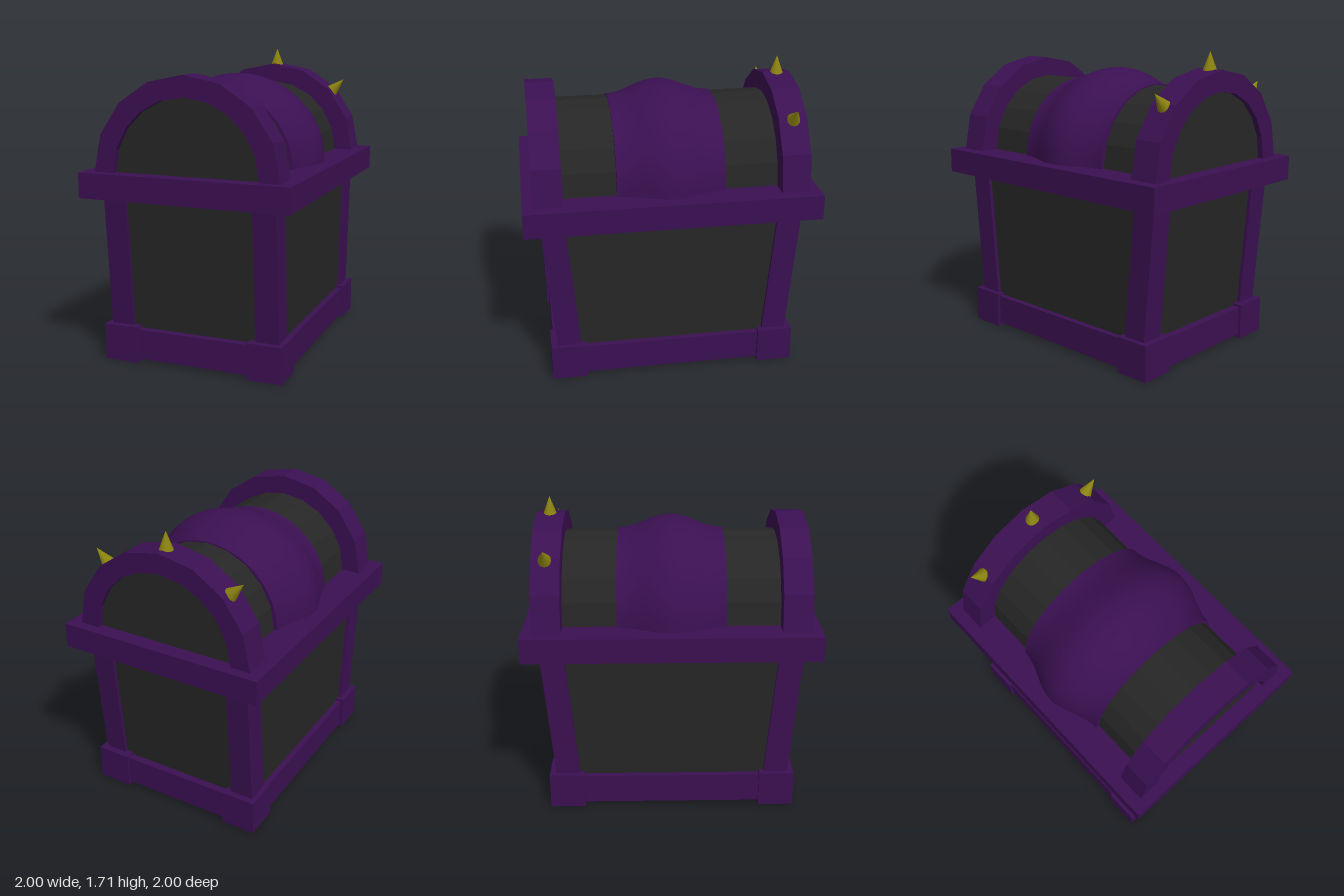
import * as THREE from 'three';
import { toCreasedNormals } from 'three/addons/utils/BufferGeometryUtils.js';

const purple = new THREE.MeshStandardMaterial({ color: 0x3b1052 });
const grey = new THREE.MeshStandardMaterial({ color: 0x262626 });
const gold = new THREE.MeshStandardMaterial({ color: 0x8a8210 });

const RIM_BOTTOM = 0.94, RIM_TOP = 1.08;

export function createModel() {
  const root = new THREE.Group();
  root.name = 'chest';
  const chest = new THREE.Group();
  chest.name = 'chestBody';
  chest.rotation.y = Math.PI / 4; // the chest stands diagonally
  root.add(chest);

  const add = (name, geometry, material) => {
    const mesh = new THREE.Mesh(geometry, material);
    mesh.name = name;
    chest.add(mesh);
    return mesh;
  };
  const box = (x0, x1, y0, y1, z0, z1) =>
    new THREE.BoxGeometry(x1 - x0, y1 - y0, z1 - z0)
      .translate((x0 + x1) / 2, (y0 + y1) / 2, (z0 + z1) / 2);
  // leans the ends of the chest inwards towards the floor
  const taper = (geometry) => {
    const p = geometry.attributes.position;
    for (let i = 0; i < p.count; i++) {
      const x = p.getX(i);
      p.setX(i, x - Math.sign(x) * (RIM_BOTTOM - p.getY(i)) * 0.084);
    }
    geometry.computeVertexNormals();
    return geometry;
  };

  // lower box with its corner posts and feet
  add('bodyPanels', taper(box(-0.705, 0.705, 0.19, RIM_BOTTOM, -0.477, 0.477)), grey);
  for (const sx of [-1, 1]) {
    for (const sz of [-1, 1]) {
      const span = (s, inner, outer) => (s > 0 ? [inner, outer] : [-outer, -inner]);
      const [px0, px1] = span(sx, 0.59, 0.725);
      const [pz0, pz1] = span(sz, 0.365, 0.497);
      add('cornerPost', taper(box(px0, px1, 0.15, RIM_BOTTOM, pz0, pz1)), purple);
      const [fx0, fx1] = span(sx, 0.5, 0.7);
      const [fz0, fz1] = span(sz, 0.326, 0.526);
      add('foot', box(fx0, fx1, 0, 0.205, fz0, fz1), purple);
    }
  }

  // base boards, open underneath
  for (const s of [-1, 1]) {
    const side = box(-0.6, 0.6, 0.02, 0.19, -0.08, 0.08);
    add('sideBaseBoard', side.translate(0, 0, s * 0.43), purple);
    const end = box(-0.08, 0.08, 0.02, 0.19, -0.4, 0.4);
    add('endBaseBoard', end.translate(s * 0.605, 0, 0), purple);
  }

  // rim, grey on its underside
  add('rim', box(-0.814, 0.814, RIM_BOTTOM, RIM_TOP, -0.6, 0.6),
    [purple, purple, purple, grey, purple, purple]);

  // half-round lid
  const arc = (r, n) => Array.from({ length: n + 1 }, (_, i) => {
    const a = (i / n) * Math.PI;
    return new THREE.Vector2(r * Math.cos(a), r * Math.sin(a));
  });
  const extrudeAlongX = (shape, length) =>
    new THREE.ExtrudeGeometry(shape, { depth: length, bevelEnabled: false })
      .translate(0, 0, -length / 2).rotateY(Math.PI / 2);
  const barrel = add('lidBarrel', extrudeAlongX(new THREE.Shape(arc(0.42, 10)), 1.45), grey);
  barrel.position.y = RIM_TOP;

  // heavy arches at both ends of the lid
  const archShape = new THREE.Shape([...arc(0.53, 8), ...arc(0.415, 10).reverse()]);
  for (const s of [-1, 1]) {
    const arch = add('endArch', extrudeAlongX(archShape, 0.16), purple);
    arch.position.set(s * 0.677, RIM_TOP, 0);
  }

  // swollen band around the middle of the lid
  const profile = [new THREE.Vector2(0.4, -0.3)];
  for (let i = 0; i <= 16; i++) {
    const x = -0.3 + (0.6 * i) / 16;
    profile.push(new THREE.Vector2(0.44 + 0.04 * (1 + Math.cos((Math.PI * x) / 0.3)), x));
  }
  profile.push(new THREE.Vector2(0.4, 0.3));
  const bandGeometry = new THREE.LatheGeometry(profile, 24, Math.PI, Math.PI)
    .rotateZ(-Math.PI / 2).scale(1, 0.965, 1);
  const band = add('middleBand', toCreasedNormals(bandGeometry, 0.7), purple);
  band.position.y = RIM_TOP;

  // three spikes on the left arch
  for (const a of [-0.8, 0, 0.8]) {
    const spike = add('spike', new THREE.ConeGeometry(0.053, 0.14, 12).translate(0, 0.555, 0), gold);
    spike.position.set(0.68, RIM_TOP, 0);
    spike.rotation.x = a;
  }
  return root;
}
